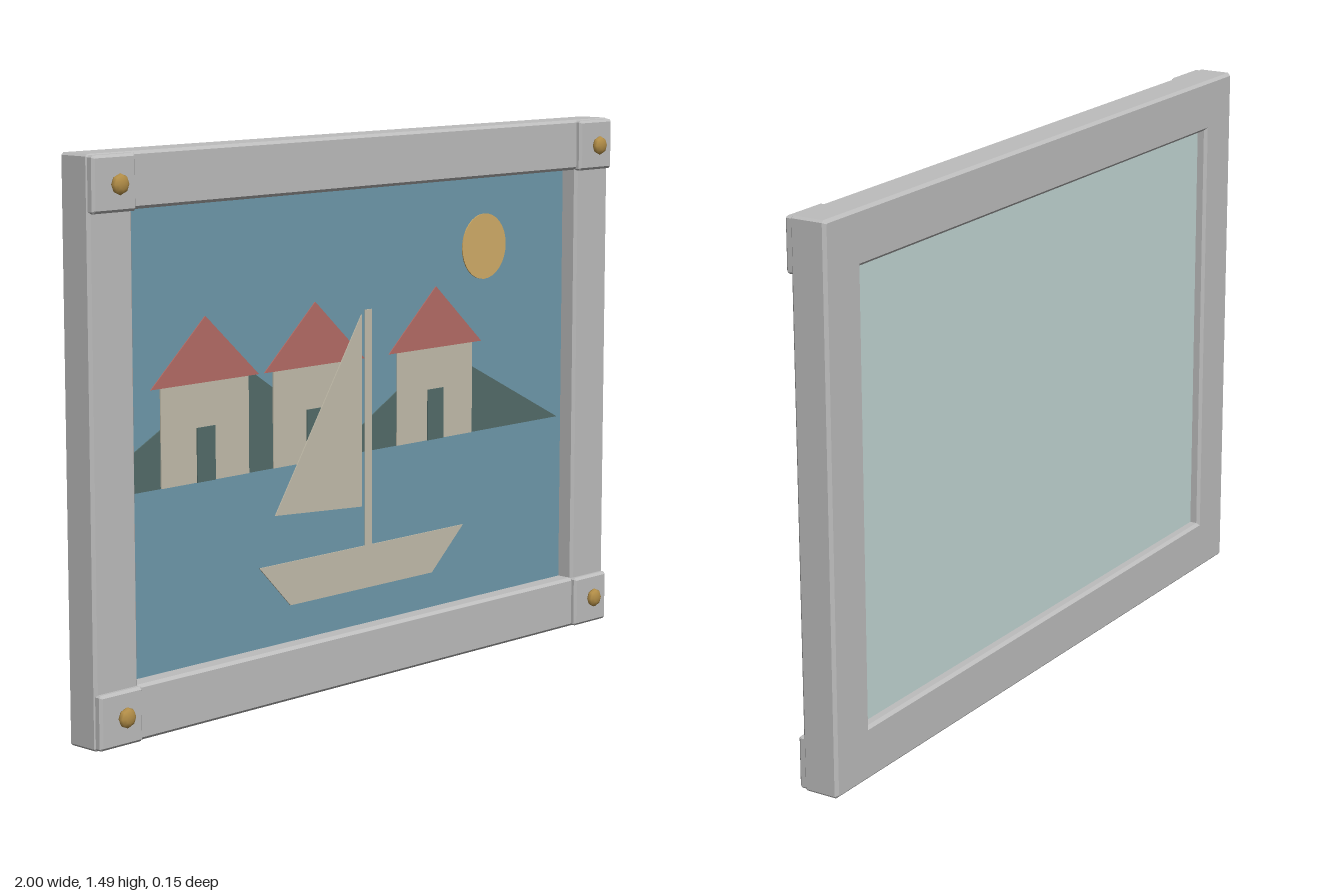
import * as THREE from 'three';

const W = 2, H = 1.485, OX = 0.855, OY0 = 0.145, OY1 = 1.342;

const mat = (name, color) => {
  const m = new THREE.MeshStandardMaterial({ color });
  m.name = name;
  return m;
};

const shapeOf = (pts) => new THREE.Shape(pts.map(([x, y]) => new THREE.Vector2(x, y)));

// Rectangle outline with small cut corners
const cutRect = (x0, y0, x1, y1, c) => [
  [x0 + c, y0], [x1 - c, y0], [x1, y0 + c], [x1, y1 - c],
  [x1 - c, y1], [x0 + c, y1], [x0, y1 - c], [x0, y0 + c],
];

// Chamfered slab between two depths
function slab(shape, z0, z1, b) {
  const g = new THREE.ExtrudeGeometry(shape, {
    depth: z1 - z0 - 2 * b, bevelEnabled: true, bevelSize: b,
    bevelThickness: b, bevelOffset: -b, bevelSegments: 1,
  });
  return g.translate(0, 0, z0 + b);
}

export function createModel() {
  const model = new THREE.Group();
  model.name = 'framedPicture';
  const grey = mat('frame grey', 0xbdbdbd);
  const blue = mat('sea blue', 0x6e99ab);
  const pale = mat('backing pale teal', 0xc2d6d4);
  const cream = mat('cream', 0xc3bdab);
  const red = mat('roof red', 0xb56c66);
  const green = mat('hill green', 0x536c69);
  const yellow = mat('sun yellow', 0xd1ad68);
  const brass = mat('brass', 0xb48f48);

  const add = (name, geo, material, parent = model) => {
    const m = new THREE.Mesh(geo, material);
    m.name = name;
    parent.add(m);
    return m;
  };

  // Frame with opening
  const outline = shapeOf(cutRect(-W / 2, 0, W / 2, H, 0.006));
  outline.holes.push(new THREE.Path([
    [-OX, OY0], [-OX, OY1], [OX, OY1], [OX, OY0],
  ].map(([x, y]) => new THREE.Vector2(x, y))));
  add('frame', slab(outline, -0.073, 0.03, 0.008), grey);

  // Corner blocks with brass studs
  for (const sx of [-1, 1]) {
    for (const cy of [0.074, H - 0.074]) {
      const block = shapeOf(cutRect(-0.071, -0.071, 0.071, 0.071, 0.005));
      add('cornerBlock', slab(block, 0.005, 0.046, 0.007), grey)
        .position.set(sx * 0.926, cy, 0);
      const stud = new THREE.SphereGeometry(0.027, 8, 6);
      stud.rotateX(Math.PI / 2).scale(1, 1, 0.52);
      add('stud', stud, brass)
        .position.set(sx * 0.923, cy < 0.5 ? 0.08 : 1.41, 0.061);
    }
  }
  grey.flatShading = false;

  // Picture board and pale backing
  const midY = (OY0 + OY1) / 2, bh = OY1 - OY0 + 0.01, bw = 2 * OX + 0.01;
  add('pictureBoard', new THREE.BoxGeometry(bw, bh, 0.012), blue).position.set(0, midY, -0.026);
  add('backing', new THREE.BoxGeometry(bw, bh, 0.012), pale).position.set(0, midY, -0.039);

  // Thin painted cut-outs, stacked by layer
  const picture = new THREE.Group();
  picture.name = 'picture';
  picture.position.z = -0.02;
  model.add(picture);
  const LAYER = 0.003;
  const plate = (name, pts, layer, material) => {
    const g = new THREE.ExtrudeGeometry(shapeOf(pts), { depth: LAYER, bevelEnabled: false });
    add(name, g, material, picture).position.z = layer * LAYER;
  };

  // Hills
  const shore = 0.623;
  plate('leftHill', [[-0.852, shore], [0, shore], [-0.45, 0.917], [-0.852, 0.71]], 0, green);
  plate('rightHill', [[-0.12, shore], [0.835, shore], [0.33, 0.875]], 0, green);

  // Houses
  for (const x of [-0.575, -0.175, 0.302]) {
    plate('houseWall', [[x - 0.155, shore], [x + 0.155, shore], [x + 0.155, 0.88], [x - 0.155, 0.88]], 1, cream);
    plate('roof', [[x - 0.19, 0.88], [x + 0.19, 0.88], [x, 1.05]], 2, red);
    plate('door', [[x - 0.032, shore], [x + 0.032, shore], [x + 0.032, 0.765], [x - 0.032, 0.765]], 2, green);
  }

  // Sailing boat
  plate('hull', [[-0.275, 0.247], [0.285, 0.247], [0.415, 0.365], [-0.39, 0.365]], 3, cream);
  plate('mast', [[0.013, 0.36], [0.04, 0.36], [0.04, 1.012], [0.013, 1.012]], 3, cream);
  plate('sail', [[-0.33, 0.497], [0, 0.475], [0, 1.0]], 3, cream);

  // Sun
  const sun = new THREE.CylinderGeometry(0.092, 0.092, LAYER, 32).rotateX(Math.PI / 2);
  add('sun', sun, yellow, picture).position.set(0.51, 1.145, LAYER / 2);

  return model;
}
